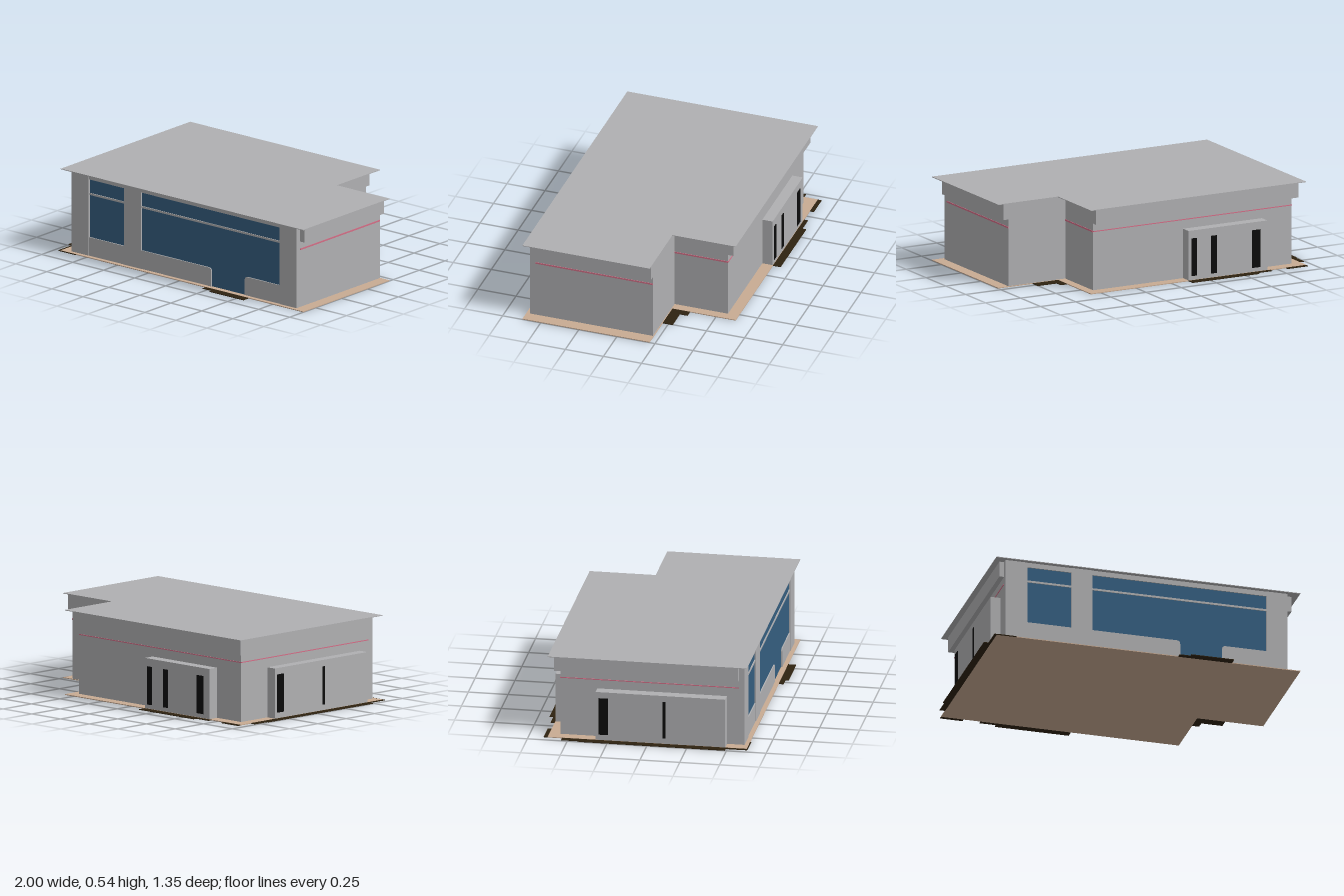
import * as THREE from 'three';

const mat = (name, color) => {
  const m = new THREE.MeshStandardMaterial({ color });
  m.name = name;
  return m;
};

export function createModel() {
  const model = new THREE.Group();
  model.name = 'building';
  const concrete = mat('concrete', 0xb0b0b2);
  const glass = mat('blueGlass', 0x355f80);
  const floorTan = mat('floorTan', 0xc8ab93);
  const paving = mat('darkPaving', 0x2e2210);
  const opening = mat('darkOpening', 0x0b0b0b);
  const pink = mat('pinkTrim', 0xd27088);

  const add = (name, geometry, material) => {
    const mesh = new THREE.Mesh(geometry, material);
    mesh.name = name;
    model.add(mesh);
    return mesh;
  };
  // Box given by its limits on each axis
  const box = (name, material, x0, x1, y0, y1, z0, z1) => {
    const g = new THREE.BoxGeometry(x1 - x0, y1 - y0, z1 - z0);
    g.translate((x0 + x1) / 2, (y0 + y1) / 2, (z0 + z1) / 2);
    return add(name, g, material);
  };
  // L-shaped plan with a notch at the back left corner, raised from y0 to y1
  const plan = (name, material, [x0, x1, z0, z1], [nx, nz], y0, y1) => {
    const pts = [[x0, z1], [x1, z1], [x1, nz], [nx, nz], [nx, z0], [x0, z0]];
    const shape = new THREE.Shape(pts.map(([x, z]) => new THREE.Vector2(x, -z)));
    const g = new THREE.ExtrudeGeometry(shape, { depth: y1 - y0, bevelEnabled: false });
    g.rotateX(-Math.PI / 2);
    g.translate(0, y0, 0);
    return add(name, g, material);
  };

  // Floor, walls and flat overhanging roof
  plan('floorSlab', floorTan, [-0.955, 1, -0.63, 0.62], [0.575, -0.215], 0, 0.005);
  plan('walls', concrete, [-0.89, 0.925, -0.56, 0.56], [0.52, -0.21], 0.005, 0.531);
  plan('roofSlab', concrete, [-0.955, 1, -0.63, 0.62], [0.575, -0.215], 0.531, 0.535);

  // Raised bands under the roof
  box('rightBand', concrete, -0.92, -0.89, 0.43, 0.531, -0.595, 0.56);
  box('leftBand', concrete, 0.925, 0.96, 0.43, 0.531, -0.21, 0.56);
  box('backBand', concrete, -0.89, 0.52, 0.43, 0.531, -0.595, -0.56);

  // Thin pink line round the walls
  const t = 0.003;
  box('leftTrim', pink, 0.925, 0.925 + t, 0.374, 0.384, -0.21, 0.56);
  box('notchSideTrim', pink, 0.52, 0.52 + t, 0.374, 0.384, -0.56, -0.21);
  box('backTrim', pink, -0.89, 0.52, 0.376, 0.382, -0.56 - t, -0.56);
  box('rightTrim', pink, -0.89 - t, -0.89, 0.376, 0.382, -0.56, 0.56);

  // Front pillars
  for (const [a, b] of [[-0.89, -0.75], [-0.465, -0.33], [0.79, 0.925]]) {
    box('frontPillar', concrete, a, b, 0.005, 0.531, 0.56, 0.595);
  }
  // Front glazing with fascia and crossbar
  for (const [a, b] of [[-0.75, -0.465], [-0.33, 0.79]]) {
    box('frontGlass', glass, a, b, 0.005, 0.5, 0.56, 0.585);
    box('frontFascia', concrete, a, b, 0.5, 0.531, 0.56, 0.592);
    box('glassCrossbar', concrete, a, b, 0.399, 0.412, 0.585, 0.59);
  }
  // Low walls; rounded top corners beside the door
  const lowWall = (a, b, roundLeft, roundRight) => {
    const h = 0.125, r = 0.022;
    const s = new THREE.Shape();
    s.moveTo(a, 0.005);
    s.lineTo(b, 0.005);
    if (roundRight) {
      s.lineTo(b, h - r);
      s.quadraticCurveTo(b, h, b - r, h);
    } else s.lineTo(b, h);
    if (roundLeft) {
      s.lineTo(a + r, h);
      s.quadraticCurveTo(a, h, a, h - r);
    } else s.lineTo(a, h);
    const g = new THREE.ExtrudeGeometry(s, { depth: 0.03, bevelEnabled: false, curveSegments: 6 });
    g.translate(0, 0, 0.562);
    add('lowFrontWall', g, concrete);
  };
  lowWall(-0.75, -0.465, false, false);
  lowWall(-0.33, 0.235, false, true);
  lowWall(0.505, 0.79, true, false);

  // Projecting bays on the right side and the back, with narrow dark openings
  box('rightBay', concrete, -0.955, -0.89, 0.005, 0.32, -0.33, 0.485);
  box('backBay', concrete, -0.68, -0.12, 0.005, 0.32, -0.628, -0.56);
  for (const [a, b] of [[-0.31, -0.25], [0.09, 0.11]]) {
    box('rightBayOpening', opening, -0.958, -0.955, 0.04, 0.28, a, b);
  }
  for (const [a, b] of [[-0.63, -0.57], [-0.32, -0.28], [-0.18, -0.14]]) {
    box('backBayOpening', opening, a, b, 0.03, 0.27, -0.631, -0.628);
  }

  // Dark paving showing past the floor edge: x0, x1, z0, z1
  const patches = [
    [-0.955, -0.81, -0.655, -0.63], [-0.7, -0.595, -0.655, -0.63], [-0.595, -0.12, -0.68, -0.63],
    [-0.99, -0.955, -0.54, -0.43], [-1, -0.955, -0.43, 0.49], [-0.97, -0.955, 0.49, 0.625],
    [-0.955, -0.83, 0.62, 0.627], [0.215, 0.285, 0.62, 0.65], [0.285, 0.56, 0.62, 0.67],
    [0.575, 0.62, -0.33, -0.215], [0.62, 0.755, -0.28, -0.215],
  ];
  for (const [x0, x1, z0, z1] of patches) box('pavingPatch', paving, x0, x1, 0, 0.004, z0, z1);

  return model;
}
